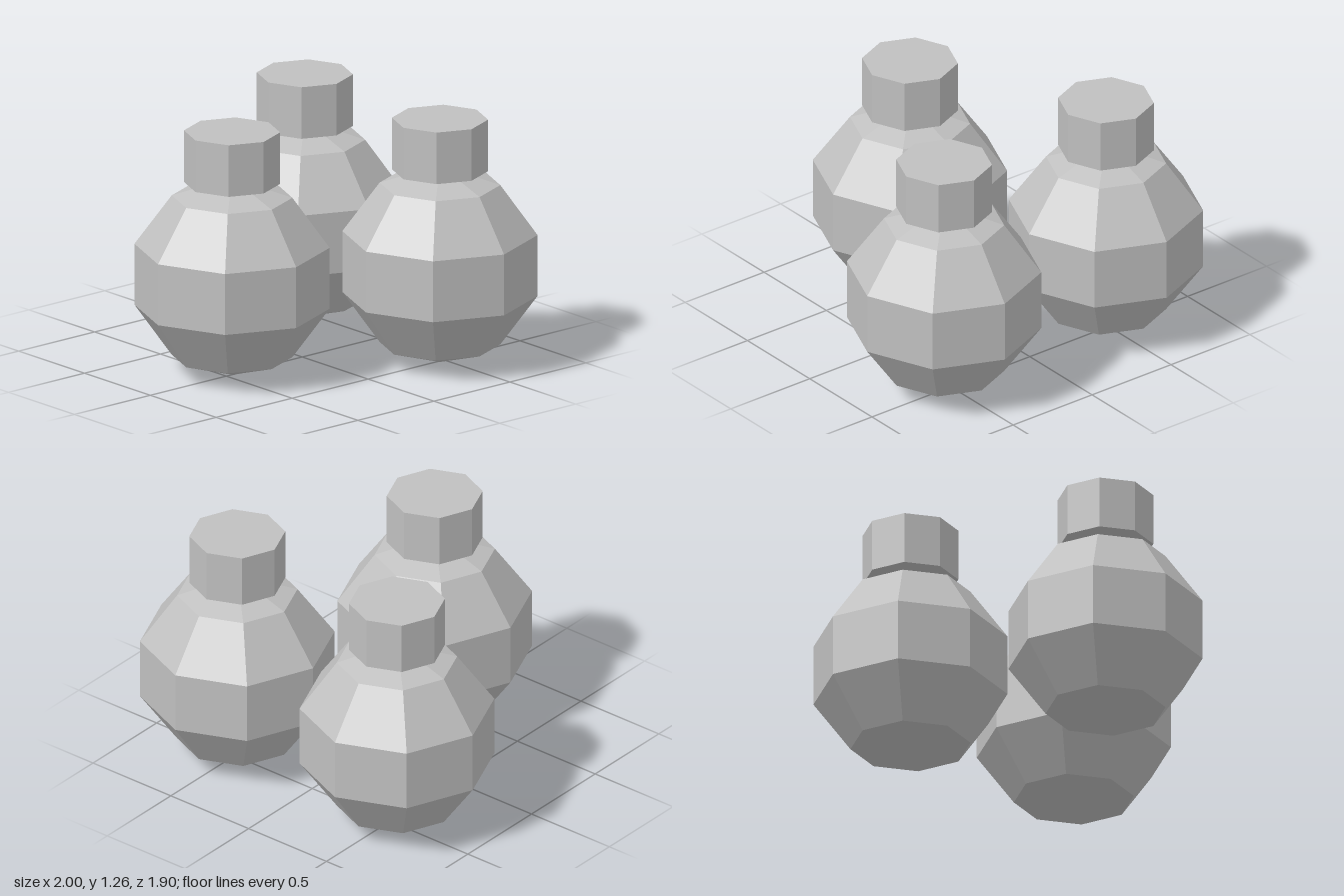
import * as THREE from 'three';

const SIDES = 8;
const BODY_R = 0.512;
const CAP_R = 0.24;
const CAP_BOTTOM = 0.997;
const CAP_TOP = 1.265;

export function createModel() {
  const model = new THREE.Group();
  model.name = 'flaskCluster';
  const grey = new THREE.MeshStandardMaterial({ color: 0xc0c0c0 });
  grey.name = 'grey';
  grey.flatShading = true;

  // Faceted round body standing on its lower tip
  const bodyGeometry = new THREE.SphereGeometry(BODY_R, SIDES, 5);
  bodyGeometry.translate(0, BODY_R, 0);

  // Octagonal stopper, closed at both ends
  const capHeight = CAP_TOP - CAP_BOTTOM;
  const capGeometry = new THREE.CylinderGeometry(CAP_R, CAP_R, capHeight, SIDES);
  capGeometry.translate(0, CAP_BOTTOM + capHeight / 2, 0);

  function addFlask(name, x, z) {
    const flask = new THREE.Group();
    flask.name = name;
    const body = new THREE.Mesh(bodyGeometry, grey);
    body.name = 'body';
    const cap = new THREE.Mesh(capGeometry, grey);
    cap.name = 'cap';
    flask.add(body, cap);
    flask.position.set(x, 0, z);
    model.add(flask);
  }

  // One flask in front, two behind
  addFlask('frontFlask', 0, 0.462);
  addFlask('backLeftFlask', 0.513, -0.462);
  addFlask('backRightFlask', -0.513, -0.462);
  return model;
}
